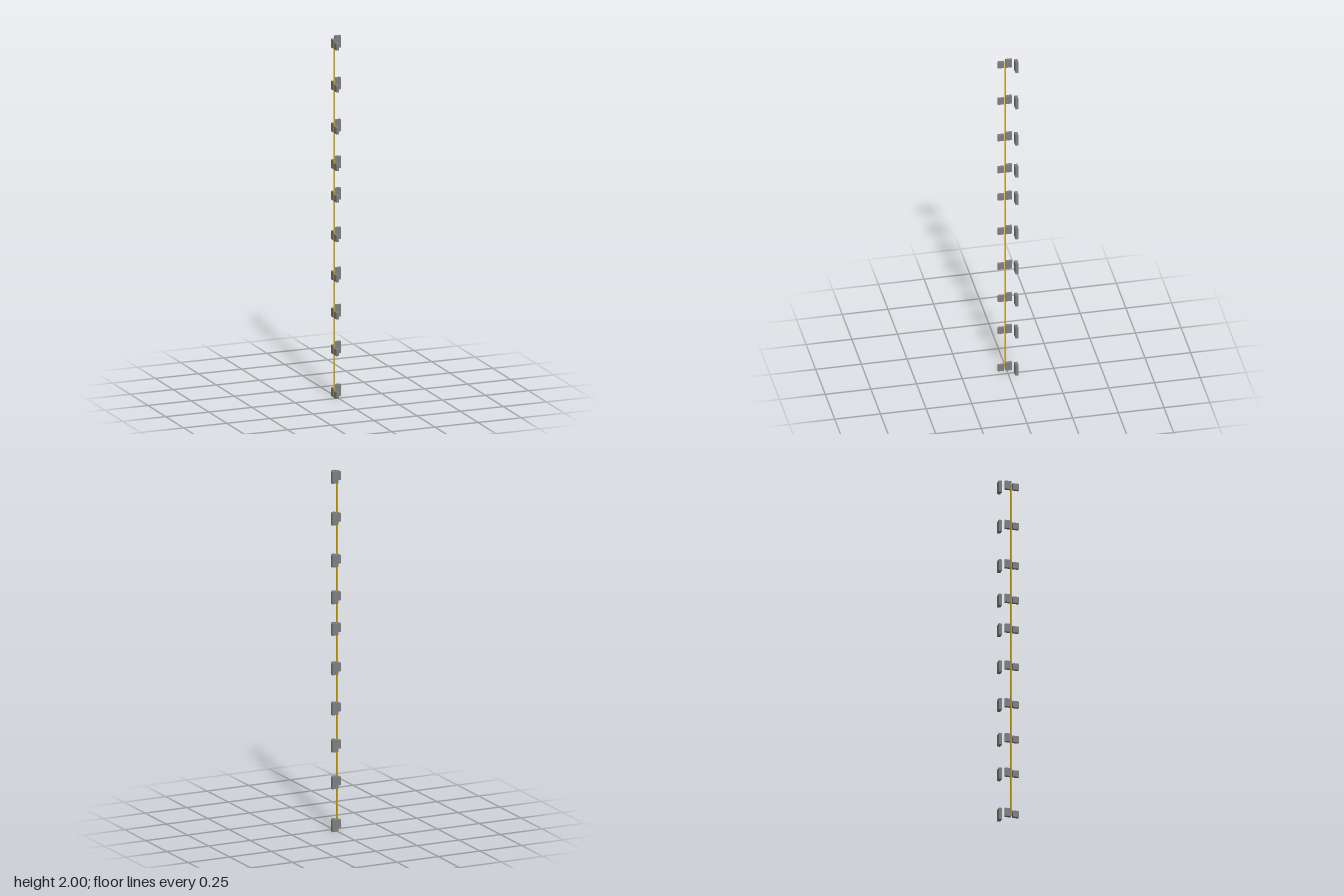
import * as THREE from 'three';

export function createModel() {
  const model = new THREE.Group();
  const grey = new THREE.MeshStandardMaterial({ color: 0x7f7f7f });
  grey.name = 'grey';
  const yellow = new THREE.MeshStandardMaterial({ color: 0xd0a810 });
  yellow.name = 'yellow';

  // Clips repeated up the height: size, then offset from each level
  const clips = [
    ['rearClip', [0.035, 0.066, 0.017], [0.0135, 0, -0.0435]],
    ['middleClip', [0.017, 0.047, 0.034], [-0.0235, 0, -0.009]],
    ['frontClip', [0.016, 0.037, 0.034], [-0.024, -0.005, 0.034]],
  ].map(([name, size, at]) => ({ name, at, geometry: new THREE.BoxGeometry(...size) }));

  const levels = [0.033, 0.271, 0.475, 0.681, 0.904, 1.123, 1.298, 1.502, 1.735, 1.967];
  levels.forEach((y, i) => {
    const bracket = new THREE.Group();
    bracket.name = `bracket${i + 1}`;
    bracket.position.y = y;
    for (const { name, geometry, at } of clips) {
      const clip = new THREE.Mesh(geometry, grey);
      clip.name = name;
      clip.position.set(...at);
      bracket.add(clip);
    }
    model.add(bracket);
  });

  // Vertical line running past the clips
  const line = new THREE.Mesh(new THREE.CylinderGeometry(0.005, 0.005, 1.96, 12), yellow);
  line.name = 'verticalLine';
  line.position.set(-0.027, 0.995, 0.009);
  model.add(line);

  return model;
}
